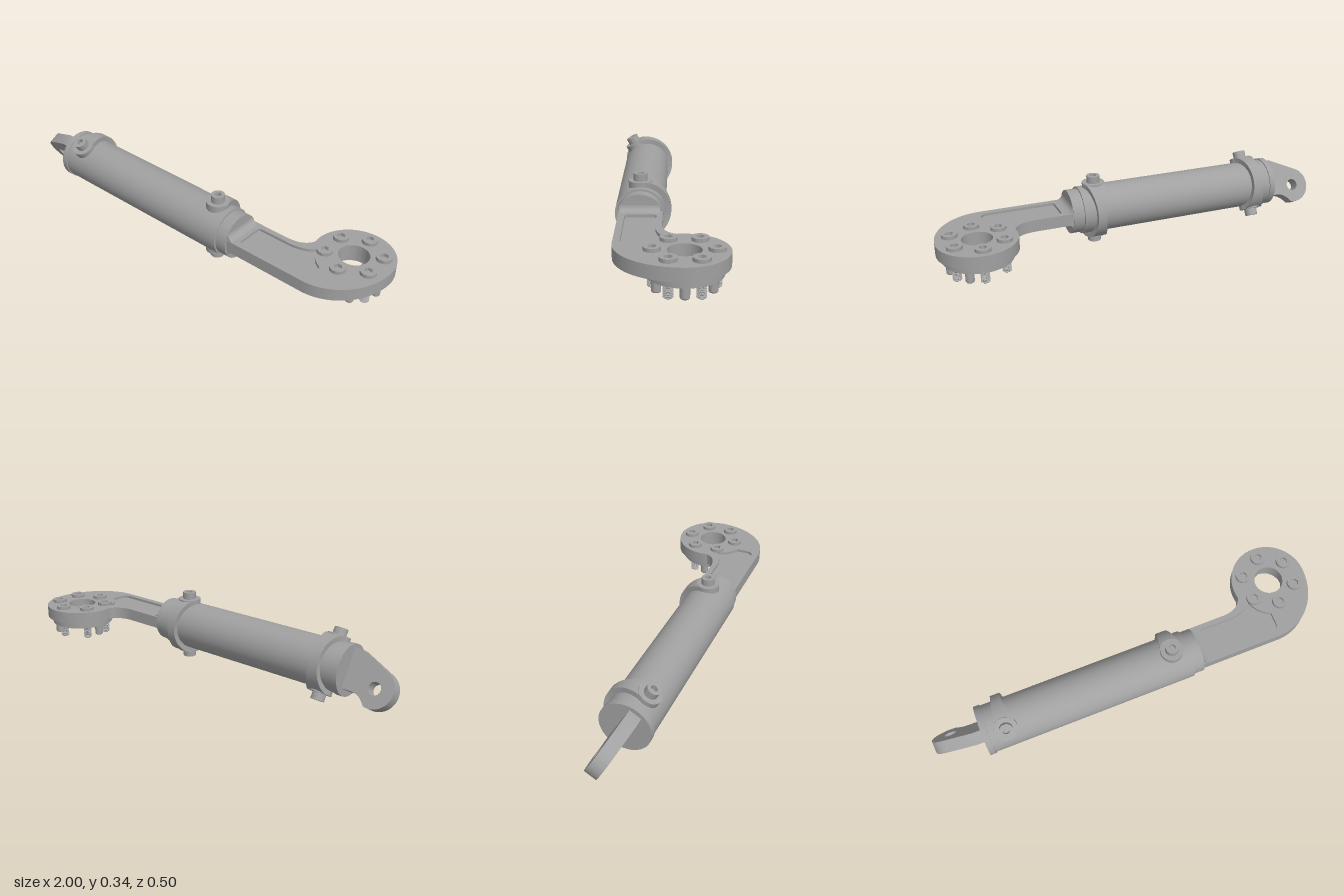
import * as THREE from 'three';
import { toCreasedNormals } from 'three/addons/utils/BufferGeometryUtils.js';

const steel = new THREE.MeshStandardMaterial({ color: 0xa0a0a0 });
steel.name = 'steel grey';

const AXIS_Y = 0.172, AXIS_Z = 0.128;      // centre line of the barrel
const RING_X = 0.815, RING_Z = -0.068;     // centre of the bolted flange
const TILT = Math.PI / 6;                  // roll of the rear lug and rear ports

function add(parent, name, geo) {
  const mesh = new THREE.Mesh(toCreasedNormals(geo, 0.5), steel);
  mesh.name = name;
  parent.add(mesh);
  return mesh;
}
// cylinder lying along x
function rod(x0, x1, r) {
  return new THREE.CylinderGeometry(r, r, x1 - x0, 64).rotateZ(Math.PI / 2).translate((x0 + x1) / 2, AXIS_Y, AXIS_Z);
}
// plan shape (x, -z) raised from y0 to y1
function slab(shape, y0, y1) {
  return new THREE.ExtrudeGeometry(shape, { depth: y1 - y0, bevelEnabled: false, curveSegments: 32 })
    .rotateX(-Math.PI / 2).translate(0, y0, 0);
}
function lathe(points, segments = 32) {
  return new THREE.LatheGeometry(points.map(p => new THREE.Vector2(p[0], p[1])), segments);
}
function circle(x, y, r) {
  return new THREE.Path().absarc(x, y, r, 0, Math.PI * 2, true);
}

// strap running round the back of the barrel from the top port to the bottom one
function strapGeometry() {
  const pos = [], index = [], n = 36;
  for (let i = 0; i <= n; i++) {
    const a = Math.PI * i / n, s = Math.sin(a);
    const out = Math.min(0.137 / Math.max(Math.abs(Math.cos(a)), 0.01), 0.141);
    const w = 0.055 - 0.033 * s;
    for (const [x, r] of [[-w, out], [w, out], [w, 0.1], [-w, 0.1]]) pos.push(x, r * Math.cos(a), -r * s);
    if (i === n) break;
    for (let k = 0; k < 4; k++) {
      const p = i * 4 + k, q = i * 4 + (k + 1) % 4;
      index.push(p, q, q + 4, p, q + 4, p + 4);
    }
  }
  const geo = new THREE.BufferGeometry();
  geo.setAttribute('position', new THREE.Float32BufferAttribute(pos, 3));
  geo.setIndex(index);
  return geo;
}

function portCollar(name, x, tilt) {
  const g = new THREE.Group();
  g.name = name;
  g.position.set(x, AXIS_Y, AXIS_Z);
  g.rotation.x = tilt;
  add(g, 'strap', strapGeometry());
  for (const flip of [0, Math.PI]) {
    add(g, 'portPad', new THREE.CylinderGeometry(0.055, 0.055, 0.067, 32).translate(0, 0.1035, 0)).rotation.x = flip;
    add(g, 'port', lathe([[0.032, 0.12], [0.032, 0.171], [0.015, 0.171], [0.015, 0.148], [0, 0.148]])).rotation.x = flip;
  }
  return g;
}

function rearLug() {
  const s = new THREE.Shape();
  s.moveTo(-0.745, -0.09);
  s.lineTo(-0.745, 0.1);
  s.lineTo(-0.8, 0.1);
  s.lineTo(-0.945, 0.033);
  s.absarc(-0.91, -0.05, 0.09, 1.97, 5.0, false);
  s.quadraticCurveTo(-0.85, -0.09, -0.81, -0.09);
  s.holes.push(circle(-0.91, -0.05, 0.03));
  const g = new THREE.Group();
  g.name = 'rearLug';
  g.position.set(0, AXIS_Y, AXIS_Z);
  g.rotation.x = TILT;
  add(g, 'lugPlate', new THREE.ExtrudeGeometry(s, { depth: 0.06, bevelEnabled: false, curveSegments: 32 }).translate(0, 0, -0.03));
  return g;
}

function armOutline() {
  const s = new THREE.Shape();
  s.moveTo(0.3, -0.222);
  s.lineTo(0.74, -0.222);
  s.absellipse(0.74, -RING_Z, 0.26, 0.29, -Math.PI / 2, 0, false, 0);
  s.absarc(RING_X, -RING_Z, 0.185, 0, Math.PI + 0.17, false);
  s.quadraticCurveTo(0.61, -0.025, 0.52, -0.025);
  s.lineTo(0.3, -0.025);
  s.holes.push(circle(RING_X, -RING_Z, 0.07));
  return s;
}
function pocketOutline() {
  const p = new THREE.Path();
  p.moveTo(0.4, -0.052);
  p.lineTo(0.56, -0.052);
  p.quadraticCurveTo(0.64, -0.045, 0.67, -0.005);
  p.quadraticCurveTo(0.69, -0.07, 0.75, -0.1);
  p.lineTo(0.75, -0.155);
  p.quadraticCurveTo(0.745, -0.192, 0.71, -0.192);
  p.lineTo(0.4, -0.192);
  p.quadraticCurveTo(0.385, -0.192, 0.385, -0.178);
  p.lineTo(0.385, -0.066);
  p.quadraticCurveTo(0.385, -0.052, 0.4, -0.052);
  return p;
}

function frontArm() {
  const g = new THREE.Group();
  g.name = 'frontArm';
  // solid web between two frames leaves a shallow pocket on each face
  const web = armOutline(), frame = armOutline();
  frame.holes.push(pocketOutline());
  add(g, 'armWeb', slab(web, 0.156, 0.189));
  add(g, 'armTopFrame', slab(frame, 0.189, 0.202));
  add(g, 'armBottomFrame', slab(frame, 0.143, 0.156));
  // blend between the end cap and the arm
  const b = new THREE.Shape();
  b.moveTo(0.32, 0.115);
  b.lineTo(0.335, 0.115);
  b.quadraticCurveTo(0.34, 0.143, 0.375, 0.144);
  b.lineTo(0.375, 0.201);
  b.quadraticCurveTo(0.34, 0.202, 0.335, 0.229);
  b.lineTo(0.32, 0.229);
  add(g, 'armBlend', new THREE.ExtrudeGeometry(b, { depth: 0.18, bevelEnabled: false }).translate(0, 0, 0.037));
  // lower locating ring
  const ring = new THREE.Shape().absarc(RING_X, -RING_Z, 0.16, 0, Math.PI * 2, false);
  ring.holes.push(circle(RING_X, -RING_Z, 0.082));
  add(g, 'lowerRing', slab(ring, 0.108, 0.143));
  return g;
}

function flangeBolts() {
  const g = new THREE.Group();
  g.name = 'flangeBolts';
  // round head with hexagonal socket
  const head = new THREE.Shape().absarc(0, 0, 0.036, 0, Math.PI * 2, false);
  const hex = new THREE.Path();
  for (let i = 0; i < 6; i++) {
    const a = -i * Math.PI / 3;
    if (i) hex.lineTo(0.019 * Math.cos(a), 0.019 * Math.sin(a));
    else hex.moveTo(0.019, 0);
  }
  hex.closePath();
  head.holes.push(hex);
  // threaded shank
  const thread = [[0, 0.05], [0.017, 0.05]];
  for (let i = 0; i < 8; i++) thread.push([0.021, 0.0535 + i * 0.007], [0.0165, 0.057 + i * 0.007]);
  const at = (a) => [RING_X + 0.128 * Math.cos(a), 0, RING_Z + 0.128 * Math.sin(a)];
  for (let i = 0; i < 6; i++) {
    const a = Math.PI / 6 + i * Math.PI / 3;
    add(g, 'boltHead', slab(head, 0.2, 0.218)).position.set(...at(a));
    add(g, 'boltShank', lathe(thread, 20)).position.set(...at(a));
  }
  // plain dowel pins between the bolts
  const pin = [[0, 0.054], [0.017, 0.054], [0.02, 0.058], [0.02, 0.112]];
  for (const a of [0, Math.PI / 3, -Math.PI / 3, Math.PI]) {
    add(g, 'dowelPin', lathe(pin, 20)).position.set(...at(a));
  }
  return g;
}

export function createModel() {
  const model = new THREE.Group();
  model.name = 'hydraulicCylinder';
  add(model, 'barrel', rod(-0.755, 0.28, 0.116));
  add(model, 'rearCollar', rod(-0.762, -0.733, 0.121));
  add(model, 'endCap', rod(0.27, 0.335, 0.107));
  model.add(
    portCollar('rearPorts', -0.65, TILT),
    portCollar('frontPorts', 0.2, 0),
    rearLug(),
    frontArm(),
    flangeBolts()
  );
  return model;
}
